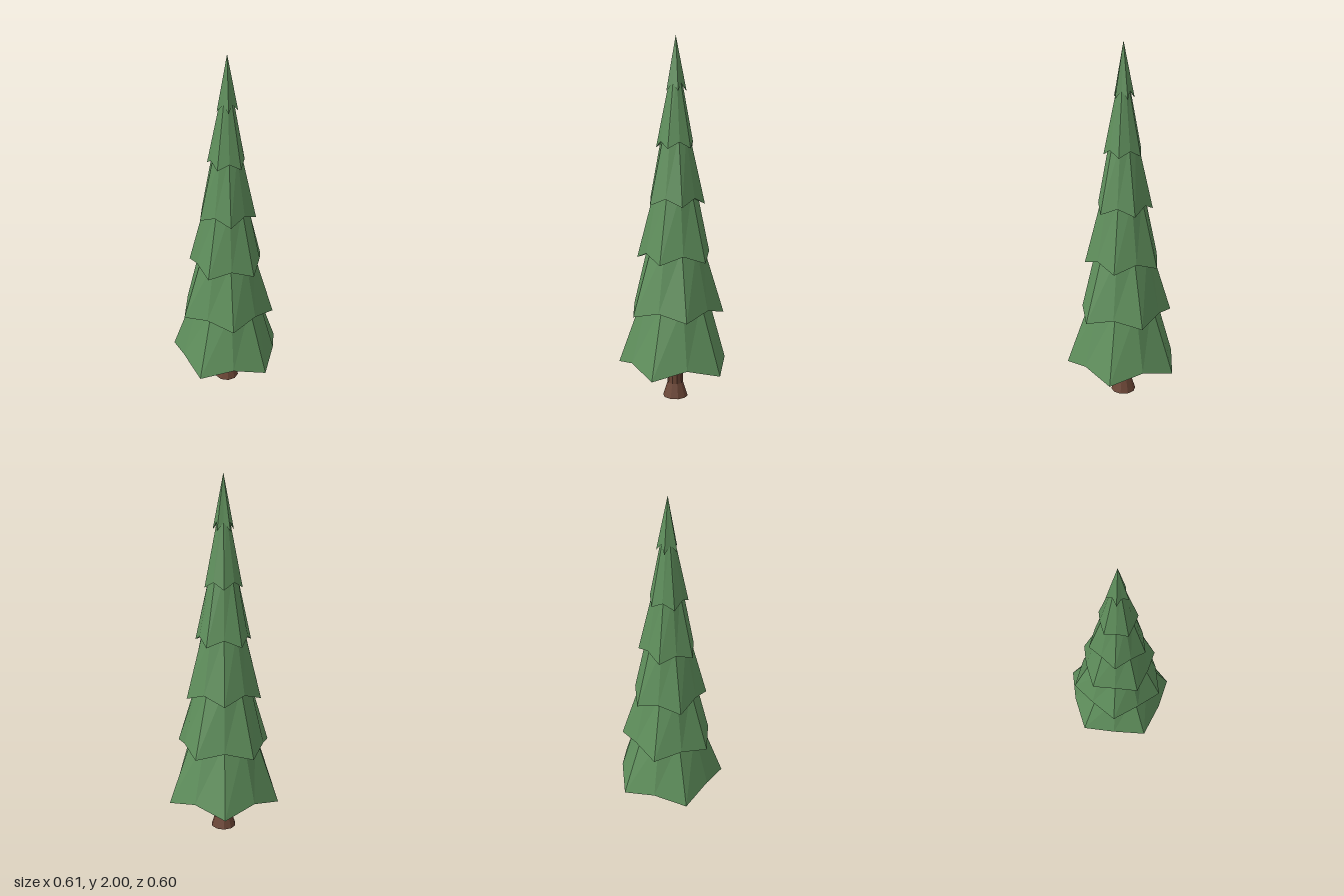
import * as THREE from 'three';

const CENTRE_Z = -0.023;
const POINTS = 5;

// Each tier: tip radius, valley radius, tip height, valley height, top height, top radius
const TIERS = [
  [0.320, 0.277, 0.19, 0.24, 0.58, 0.182],
  [0.267, 0.230, 0.50, 0.54, 0.88, 0.150],
  [0.213, 0.185, 0.80, 0.845, 1.18, 0.115],
  [0.160, 0.136, 1.105, 1.145, 1.48, 0.075],
  [0.106, 0.093, 1.41, 1.445, 1.79, 0.029],
  [0.058, 0.039, 1.71, 1.75, 2.0, 0],
];

// Ring of alternating tips and valleys; the turn staggers every second tier
function starRing(tipR, valleyR, tipY, valleyY, turn) {
  return Array.from({ length: POINTS * 2 }, (_, i) => {
    const a = (i * Math.PI) / POINTS + turn;
    const r = i % 2 ? valleyR : tipR;
    return new THREE.Vector3(r * Math.sin(a), i % 2 ? valleyY : tipY, r * Math.cos(a));
  });
}

// Flat-faced skin through successive rings
function loft(rings) {
  const pos = [];
  const n = rings[0].length;
  for (let k = 0; k < rings.length - 1; k++) {
    for (let i = 0; i < n; i++) {
      const j = (i + 1) % n;
      const a = rings[k][i], b = rings[k][j], c = rings[k + 1][j], d = rings[k + 1][i];
      for (const tri of [[a, b, c], [a, c, d]]) {
        const [p, q, r] = tri;
        if (p.distanceTo(q) < 1e-6 || q.distanceTo(r) < 1e-6 || r.distanceTo(p) < 1e-6) continue;
        for (const v of tri) pos.push(v.x, v.y, v.z);
      }
    }
  }
  const geo = new THREE.BufferGeometry();
  geo.setAttribute('position', new THREE.Float32BufferAttribute(pos, 3));
  geo.computeVertexNormals();
  return geo;
}

export function createModel() {
  const group = new THREE.Group();
  group.name = 'pineTree';
  const green = new THREE.MeshStandardMaterial({ color: 0x5f8f5c, flatShading: true });
  const brown = new THREE.MeshStandardMaterial({ color: 0x6b4636, flatShading: true });

  // Foliage: ceiling, inner wall, rim, then the sloping outer skirt
  TIERS.forEach(([tipR, valleyR, tipY, valleyY, topY, topR], i) => {
    const turn = i % 2 ? Math.PI / POINTS : 0;
    const ceilingY = valleyY + 0.03;
    const ceilingR = valleyR * 0.8;
    const ring = (a, b, c, d) => starRing(a, b, c, d, turn);
    const tier = new THREE.Mesh(loft([
      ring(0, 0, ceilingY, ceilingY),
      ring(ceilingR, ceilingR, ceilingY, ceilingY),
      ring(tipR * 0.87, valleyR * 0.87, tipY + 0.008, valleyY + 0.003),
      ring(tipR, valleyR, tipY, valleyY),
      ring(topR, topR, topY, topY),
    ]), green);
    tier.name = `foliageTier${i + 1}`;
    tier.position.z = CENTRE_Z;
    group.add(tier);
  });

  // Trunk with a flared foot
  const profile = [[0, 0], [0.07, 0], [0.044, 0.08], [0.04, 0.3]];
  const trunk = new THREE.Mesh(
    new THREE.LatheGeometry(profile.map(([r, y]) => new THREE.Vector2(r, y)), 10), brown);
  trunk.name = 'trunk';
  trunk.position.z = CENTRE_Z;
  group.add(trunk);

  return group;
}
